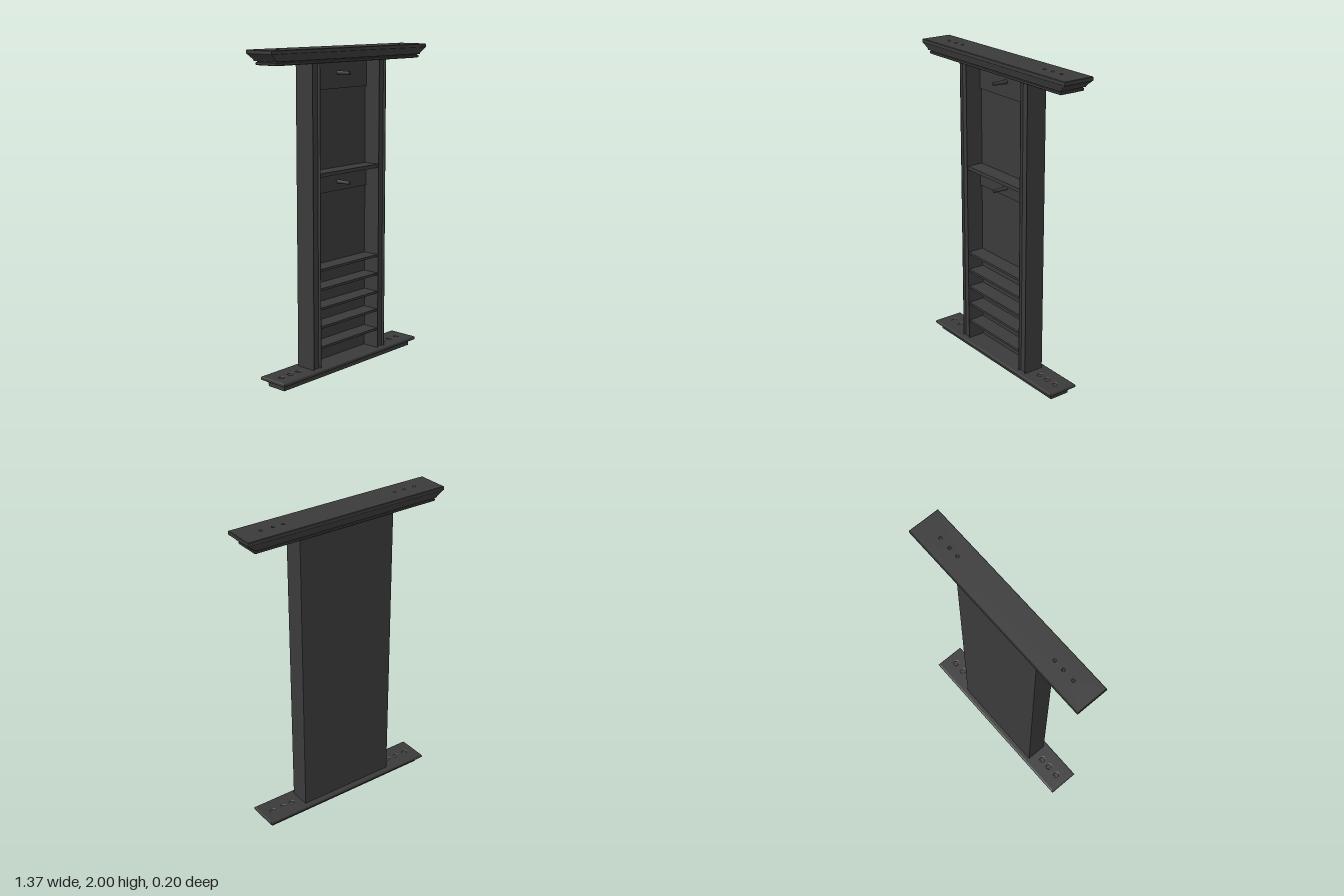
import * as THREE from 'three';

const material = new THREE.MeshStandardMaterial({ color: 0x3a3a3a, roughness: 0.8 });
const holeXs = [-0.54, -0.463, -0.395, 0.395, 0.463, 0.54];

export function createModel() {
  const model = new THREE.Group();

  const add = (name, geometry) => {
    const mesh = new THREE.Mesh(geometry, material);
    mesh.name = name;
    model.add(mesh);
    return mesh;
  };

  // Box given by its limits on each axis
  const box = (name, x0, x1, y0, y1, z0, z1) => {
    const mesh = add(name, new THREE.BoxGeometry(x1 - x0, y1 - y0, z1 - z0));
    mesh.position.set((x0 + x1) / 2, (y0 + y1) / 2, (z0 + z1) / 2);
  };

  // Horizontal slab with eased edges and a row of round holes at each end
  const drilledSlab = (name, hx, hz, y0, y1, radius, bevel, bevelSegments) => {
    const shape = new THREE.Shape();
    shape.moveTo(-hx, -hz).lineTo(hx, -hz).lineTo(hx, hz).lineTo(-hx, hz).closePath();
    for (const x of holeXs) {
      shape.holes.push(new THREE.Path().absarc(x, 0, radius, 0, Math.PI * 2, true));
    }
    const geometry = new THREE.ExtrudeGeometry(shape, {
      depth: y1 - y0 - 2 * bevel, curveSegments: 10, bevelEnabled: true,
      bevelThickness: bevel, bevelSize: bevel, bevelOffset: -bevel, bevelSegments,
    });
    geometry.rotateX(-Math.PI / 2);
    geometry.translate(0, y0 + bevel, 0);
    add(name, geometry);
  };

  // Rectangular moulding lofted through sections [y, halfWidth, halfDepth]
  const moulding = (name, sections) => {
    const points = [], index = [];
    for (const [y, hx, hz] of sections) {
      points.push(-hx, y, hz, hx, y, hz, hx, y, -hz, -hx, y, -hz);
    }
    for (let s = 0; s < sections.length - 1; s++) {
      for (let i = 0; i < 4; i++) {
        const a = s * 4 + i, b = s * 4 + (i + 1) % 4;
        index.push(a, b, b + 4, a, b + 4, a + 4);
      }
    }
    const t = (sections.length - 1) * 4;
    index.push(0, 2, 1, 0, 3, 2, t, t + 1, t + 2, t, t + 2, t + 3);
    const indexed = new THREE.BufferGeometry();
    indexed.setAttribute('position', new THREE.Float32BufferAttribute(points, 3));
    indexed.setIndex(index);
    const geometry = indexed.toNonIndexed();
    geometry.computeVertexNormals();
    add(name, geometry);
  };

  // Base: plinth rising inside a rounded ledge, closing its shallow holes
  box('plinth', -0.585, 0.585, 0, 0.055, -0.064, 0.068);
  drilledSlab('baseLedge', 0.615, 0.1, 0.036, 0.06, 0.016, 0.009, 4);

  // Crown: neck, groove and cove, with a core closing the holes of the top
  moulding('crownMoulding', [
    [1.912, 0.628, 0.078], [1.916, 0.635, 0.083], [1.927, 0.635, 0.083],
    [1.93, 0.627, 0.079], [1.934, 0.627, 0.079], [1.936, 0.642, 0.09],
    [1.942, 0.644, 0.09], [1.95, 0.652, 0.092], [1.962, 0.666, 0.096],
    [1.975, 0.683, 0.1], [1.98, 0.684, 0.1], [1.98, 0.66, 0.08], [1.997, 0.66, 0.08],
  ]);
  drilledSlab('crownTop', 0.687, 0.102, 1.975, 2, 0.007, 0.003, 1);

  // Thin back behind the deep niche
  box('backPanel', -0.33, 0.33, 0.055, 1.917, -0.066, -0.045);

  // Pilasters: full-depth posts with a sunk, sloping-sided front panel
  const profile = new THREE.Shape([
    [-0.0325, -0.046], [0.0325, -0.046], [0.0325, 0.069], [0.0295, 0.069], [0.0225, 0.056],
    [-0.0225, 0.056], [-0.0295, 0.069], [-0.0325, 0.069],
  ].map(([x, z]) => new THREE.Vector2(x, -z)).reverse());
  for (const [name, x] of [['leftPilaster', 0.2975], ['rightPilaster', -0.2975]]) {
    const geometry = new THREE.ExtrudeGeometry(profile, { depth: 1.862, bevelEnabled: false });
    geometry.rotateX(-Math.PI / 2);
    add(name, geometry).position.set(x, 0.055, 0);
  }

  // Shelves between the pilasters
  const shelves = [[1.24, 1.263], [0.665, 0.68], [0.544, 0.559], [0.424, 0.438], [0.305, 0.32], [0.177, 0.192]];
  for (const [y0, y1] of shelves) box('shelf', -0.266, 0.266, y0, y1, -0.047, 0.062);

  // Hanging rails, each with a single long peg
  for (const [y0, y1, pegY] of [[1.747, 1.917, 1.843], [1.119, 1.241, 1.175]]) {
    box('pegRail', -0.266, 0.266, y0, y1, -0.047, -0.034);
    const peg = add('peg', new THREE.CylinderGeometry(0.01, 0.013, 0.1, 14));
    peg.rotation.x = Math.PI / 2;
    peg.position.set(0, pegY, 0.014);
  }

  return model;
}
